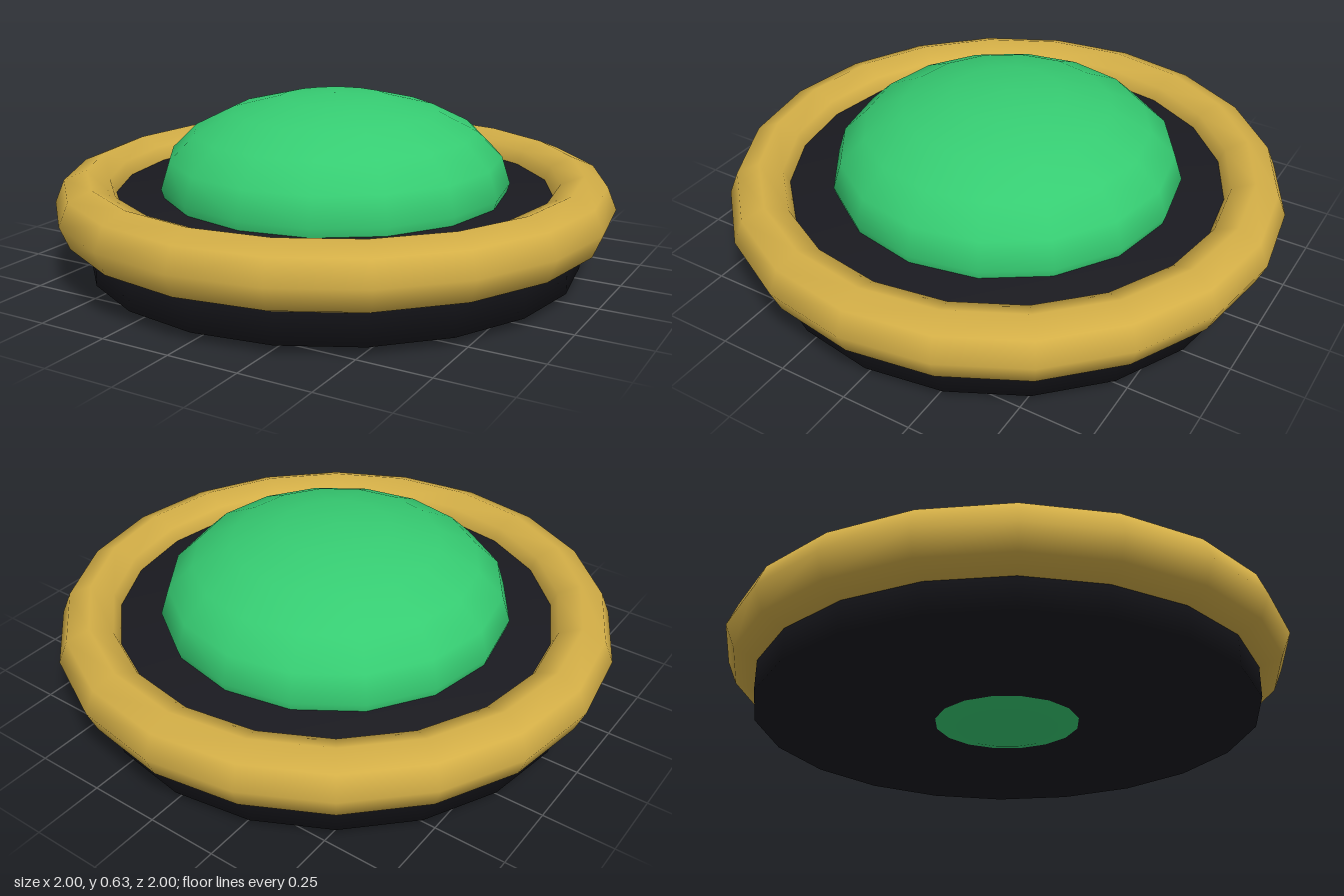
import * as THREE from 'three';

function flatMaterial(name, color) {
  const material = new THREE.MeshStandardMaterial({ color });
  material.name = name;
  return material;
}

export function createModel() {
  const model = new THREE.Group();
  model.name = 'ringedDome';

  const add = (name, geometry, material, y) => {
    const mesh = new THREE.Mesh(geometry, material);
    mesh.name = name;
    mesh.position.y = y;
    model.add(mesh);
  };

  // Dark base disc: closed profile with softly shaded rims
  const radius = 0.886, bottom = 0.033, top = 0.285;
  const profile = [[0, bottom], [radius, bottom], [radius, top], [0, top]]
    .map(([x, y]) => new THREE.Vector2(x, y));
  add('baseDisc', new THREE.LatheGeometry(profile, 20), flatMaterial('charcoal', 0x1a1a20), 0);

  // Gold ring around the disc
  const ring = new THREE.TorusGeometry(0.886, 0.114, 8, 20).rotateX(-Math.PI / 2);
  add('ring', ring, flatMaterial('gold', 0xd4af47), 0.255);

  // Flattened green ball, poking slightly through the underside
  const ball = new THREE.SphereGeometry(0.63, 16, 10).scale(1, 0.5, 1);
  add('dome', ball, flatMaterial('green', 0x36cc72), 0.317);

  return model;
}
